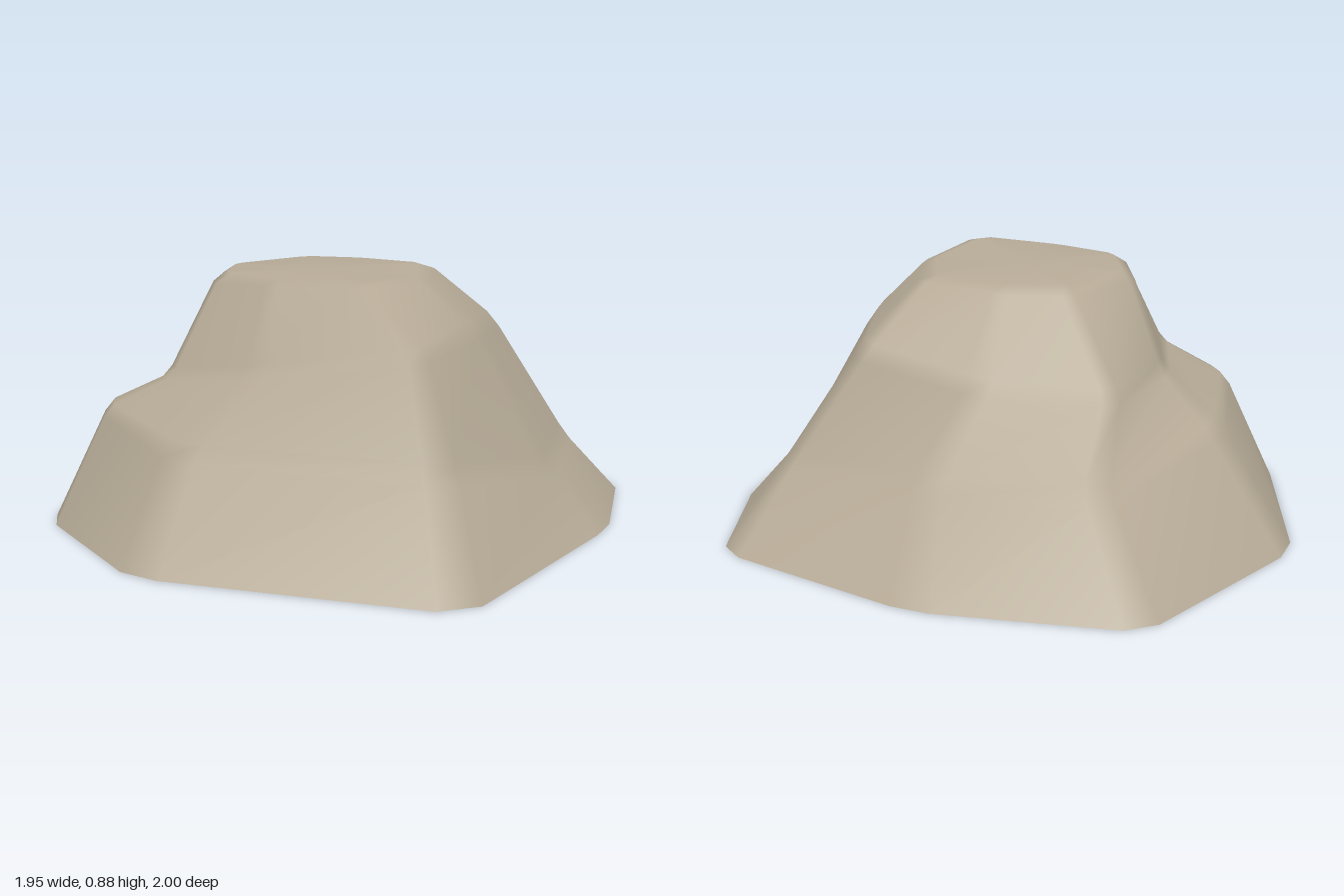
import * as THREE from 'three';

// Eight ridges of the boulder, each running from the ground to the rim of the top: [x, y, z]
const RIDGES = [
  [[-0.62, 0, -0.98], [-0.43, 0.34, -0.78], [-0.43, 0.57, -0.5], [-0.2, 0.865, -0.24]],
  [[0.12, 0, -1.01], [0.14, 0.31, -0.73], [0.02, 0.58, -0.52], [0.01, 0.865, -0.28]],
  [[0.86, 0, -0.71], [0.73, 0.25, -0.47], [0.46, 0.66, -0.43], [0.29, 0.87, -0.21]],
  [[0.985, 0, -0.13], [0.8, 0.21, -0.03], [0.53, 0.69, -0.04], [0.37, 0.86, 0.08]],
  [[0.84, 0, 0.91], [0.69, 0.35, 0.68], [0.55, 0.69, 0.55], [0.26, 0.88, 0.39]],
  [[-0.25, 0, 1.0], [-0.23, 0.35, 0.74], [-0.03, 0.58, 0.54], [-0.05, 0.87, 0.37]],
  [[-0.82, 0, 0.55], [-0.66, 0.41, 0.44], [-0.42, 0.52, 0.44], [-0.29, 0.865, 0.29]],
  [[-0.99, 0, -0.24], [-0.72, 0.4, -0.19], [-0.51, 0.54, -0.03], [-0.38, 0.86, 0.03]],
].map((ridge) => ridge.map((p) => new THREE.Vector3(...p)));
const PEAK = new THREE.Vector3(0, 0.868, 0.06);
const CUT = 0.09; // share of each edge taken by the worn corners

// Replace each inner point of an open line by two points, wearing its corner
function wearLine(points) {
  const out = [points[0]];
  for (let i = 1; i < points.length - 1; i++) {
    out.push(points[i].clone().lerp(points[i - 1], CUT), points[i].clone().lerp(points[i + 1], CUT));
  }
  return out;
}

// The same for every corner of a closed ring
function wearRing(points) {
  const n = points.length;
  return points.flatMap((p, i) => [
    p.clone().lerp(points[(i + n - 1) % n], CUT),
    p.clone().lerp(points[(i + 1) % n], CUT),
  ]);
}

function toGeometry(points, index) {
  const geometry = new THREE.BufferGeometry().setFromPoints(points);
  geometry.setIndex(index);
  geometry.computeVertexNormals();
  return geometry;
}

export function createModel() {
  const stone = new THREE.MeshStandardMaterial({ color: 0xb8ac98 });
  stone.name = 'warm grey stone';

  const columns = RIDGES.map((ridge) => wearLine([...ridge, PEAK]));
  const rings = columns[0].map((_, row) => wearRing(columns.map((column) => column[row])));
  const n = rings[0].length;

  // Sides and top: rings joined in order, closed by a fan at the peak
  const points = [...rings.flat(), PEAK];
  const index = [];
  for (let row = 0; row < rings.length; row++) {
    for (let i = 0; i < n; i++) {
      const a = row * n + i;
      const b = row * n + ((i + 1) % n);
      if (row === rings.length - 1) index.push(a, points.length - 1, b);
      else index.push(a, a + n, b, a + n, b + n, b);
    }
  }
  const body = new THREE.Mesh(toGeometry(points, index), stone);
  body.name = 'boulderBody';

  // Flat underside
  const fan = rings[0].flatMap((_, i) => [n, i, (i + 1) % n]);
  const underside = new THREE.Mesh(toGeometry([...rings[0], new THREE.Vector3()], fan), stone);
  underside.name = 'underside';

  const group = new THREE.Group();
  group.name = 'boulder';
  group.add(body, underside);
  return group;
}
